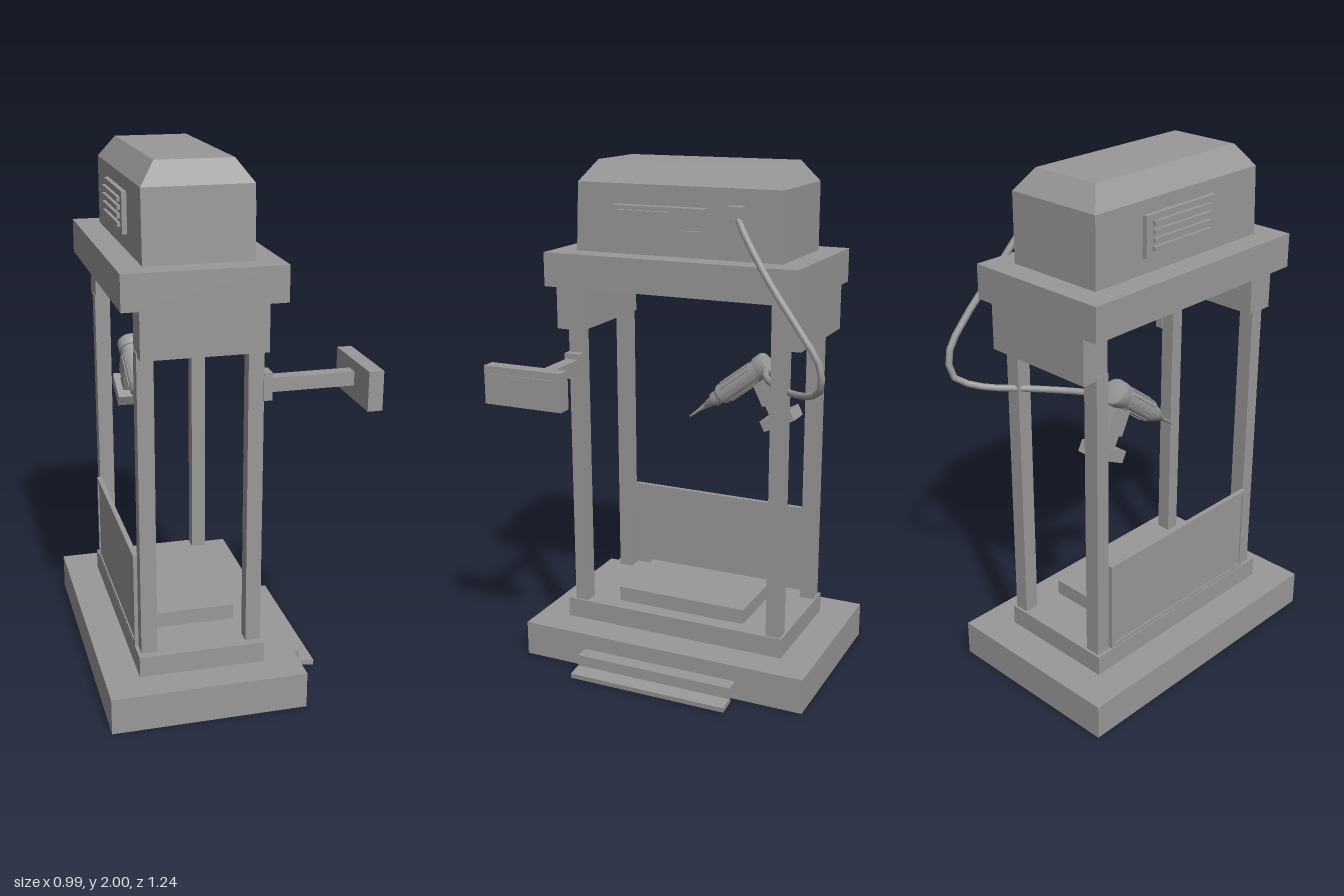
import * as THREE from 'three';

export function createModel() {
  const root = new THREE.Group();
  const grey = new THREE.MeshStandardMaterial({ color: 0x999999, side: THREE.DoubleSide });
  grey.name = 'machine grey';

  function add(name, geometry, parent = root) {
    const mesh = new THREE.Mesh(geometry, grey);
    mesh.name = name;
    parent.add(mesh);
    return mesh;
  }

  // Box given by its limits on each axis
  function box(name, x0, x1, y0, y1, z0, z1, parent = root) {
    const mesh = add(name, new THREE.BoxGeometry(x1 - x0, y1 - y0, z1 - z0), parent);
    mesh.position.set((x0 + x1) / 2, (y0 + y1) / 2, (z0 + z1) / 2);
    return mesh;
  }

  // Shell through rectangular rings [y, x0, x1, z0, z1], closed on top, open below
  function shell(name, rings) {
    const pos = [], idx = [];
    for (const [y, x0, x1, z0, z1] of rings) pos.push(x0, y, z1, x1, y, z1, x1, y, z0, x0, y, z0);
    for (let r = 0; r < rings.length - 1; r++) {
      for (let k = 0; k < 4; k++) {
        const a = r * 4 + k, b = r * 4 + (k + 1) % 4;
        idx.push(a, b, b + 4, a, b + 4, a + 4);
      }
    }
    const t = (rings.length - 1) * 4;
    idx.push(t, t + 1, t + 2, t, t + 2, t + 3);
    const g = new THREE.BufferGeometry();
    g.setAttribute('position', new THREE.Float32BufferAttribute(pos, 3));
    g.setIndex(idx);
    const flat = g.toNonIndexed();
    flat.computeVertexNormals();
    return add(name, flat);
  }

  // Hollow stepped base and the work pad on it
  shell('base', [
    [0, -0.5, 0.235, -0.58, 0.615],
    [0.14, -0.5, 0.235, -0.58, 0.615],
    [0.14, -0.37, 0.105, -0.445, 0.49],
    [0.22, -0.37, 0.105, -0.445, 0.49],
  ]);
  box('workPad', -0.275, 0.04, 0.22, 0.28, -0.26, 0.285);

  // Foot pedal: fixed bar and tilted tread
  box('pedalBar', 0.235, 0.295, 0.03, 0.075, -0.31, 0.345);
  box('pedalTread', 0.283, 0.355, 0.007, 0.027, -0.31, 0.345).rotation.z = -0.12;

  // Four posts
  for (const [x0, x1] of [[-0.357, -0.297], [0.04, 0.097]]) {
    for (const [z0, z1] of [[0.405, 0.46], [-0.435, -0.378]]) {
      box('post', x0, x1, 0.22, 1.37, z0, z1);
    }
  }

  // Guard panel with a shallow frame
  box('sidePanel', -0.366, -0.352, 0.225, 0.59, -0.375, 0.405);
  for (const [y0, y1, z0, z1] of [
    [0.225, 0.24, -0.375, 0.405], [0.575, 0.59, -0.375, 0.405],
    [0.24, 0.575, -0.375, -0.36], [0.24, 0.575, 0.39, 0.405],
  ]) box('panelFrame', -0.371, -0.366, y0, y1, z0, z1);

  // Cross beams and platform
  box('frontBeam', -0.353, 0.1, 1.355, 1.535, 0.395, 0.508);
  box('backBeam', -0.353, 0.1, 1.355, 1.535, -0.492, -0.378);
  box('platform', -0.418, 0.163, 1.53, 1.66, -0.498, 0.523);

  // Head housing with chamfered top
  shell('headHousing', [
    [1.655, -0.325, 0.07, -0.405, 0.43],
    [1.92, -0.325, 0.07, -0.405, 0.418],
    [2, -0.267, 0.013, -0.345, 0.36],
  ]);

  // Control panel on the left side
  box('controlPanel', 0.07, 0.11, 1.705, 1.845, -0.115, 0.26);
  box('controlScreen', 0.11, 0.13, 1.73, 1.83, 0.013, 0.225);
  box('screenGlass', 0.13, 0.132, 1.738, 1.822, 0.022, 0.216);
  box('controlButton', 0.11, 0.122, 1.735, 1.765, -0.11, -0.037);

  // Louvred vent on the right side
  box('vent', -0.343, -0.325, 1.72, 1.87, -0.18, 0.175);
  for (let i = 0; i < 4; i++) {
    const y = 1.75 + i * 0.03;
    box('ventSlat', -0.355, -0.343, y - 0.008, y + 0.008, -0.15, 0.145);
  }

  // Hose socket and hose
  box('hoseSocket', 0.07, 0.12, 1.775, 1.86, -0.265, -0.208);
  const hose = new THREE.CatmullRomCurve3([
    [0.11, 1.815, -0.25], [0.13, 1.785, -0.272], [0.175, 1.62, -0.39], [0.208, 1.46, -0.52],
    [0.215, 1.34, -0.602], [0.2, 1.25, -0.602], [0.14, 1.208, -0.53],
    [0.02, 1.19, -0.39], [-0.12, 1.187, -0.28], [-0.24, 1.195, -0.23],
  ].map(p => new THREE.Vector3(...p)));
  add('hose', new THREE.TubeGeometry(hose, 24, 0.013, 8));

  // Handpiece: turned body pointing forward and down
  const handpiece = new THREE.Group();
  handpiece.name = 'handpiece';
  const tip = new THREE.Vector3(-0.235, 0.96, 0.095);
  const rear = new THREE.Vector3(-0.247, 1.217, -0.24);
  handpiece.position.copy(tip);
  handpiece.quaternion.setFromUnitVectors(new THREE.Vector3(0, 1, 0), rear.clone().sub(tip).normalize());
  root.add(handpiece);
  const turned = (name, pts) =>
    add(name, new THREE.LatheGeometry(pts.map(p => new THREE.Vector2(...p)), 16), handpiece);
  turned('needle', [[0, 0], [0.004, 0], [0.007, 0.05], [0.014, 0.1]]);
  turned('nose', [[0, 0.085], [0.013, 0.085], [0.022, 0.13], [0.03, 0.135], [0.03, 0.165]]);
  turned('body', [[0, 0.16], [0.03, 0.16], [0.043, 0.18], [0.043, 0.38]]);
  turned('collar', [[0.043, 0.375], [0.05, 0.375], [0.05, 0.415], [0.043, 0.423], [0, 0.423]]);
  for (let i = 0; i < 12; i++) {
    const a = i * Math.PI / 6;
    const rib = add('gripRib', new THREE.BoxGeometry(0.006, 0.15, 0.006), handpiece);
    rib.position.set(Math.sin(a) * 0.043, 0.275, Math.cos(a) * 0.043);
    rib.rotation.y = a;
  }

  // Handle below the handpiece, with a foot block
  const handle = new THREE.Group();
  handle.name = 'handle';
  handle.position.set(-0.247, 0.997, -0.297);
  handle.rotation.x = 0.46;
  root.add(handle);
  box('handleFoot', -0.05, 0.05, -0.023, 0.023, -0.07, 0.07, handle);
  box('handleStem', -0.025, 0.025, 0.02, 0.08, -0.032, 0.032, handle);
  box('handleNeck', -0.032, 0.032, 0.07, 0.165, -0.042, 0.042, handle);

  // Display on a side arm
  box('armBracket', 0.095, 0.127, 1.165, 1.267, 0.4, 0.465);
  box('displayArm', 0.12, 0.435, 1.193, 1.245, 0.406, 0.457);
  box('display', 0.433, 0.488, 1.14, 1.285, 0.275, 0.595);
  box('displayScreen', 0.488, 0.492, 1.165, 1.257, 0.303, 0.568);

  return root;
}
